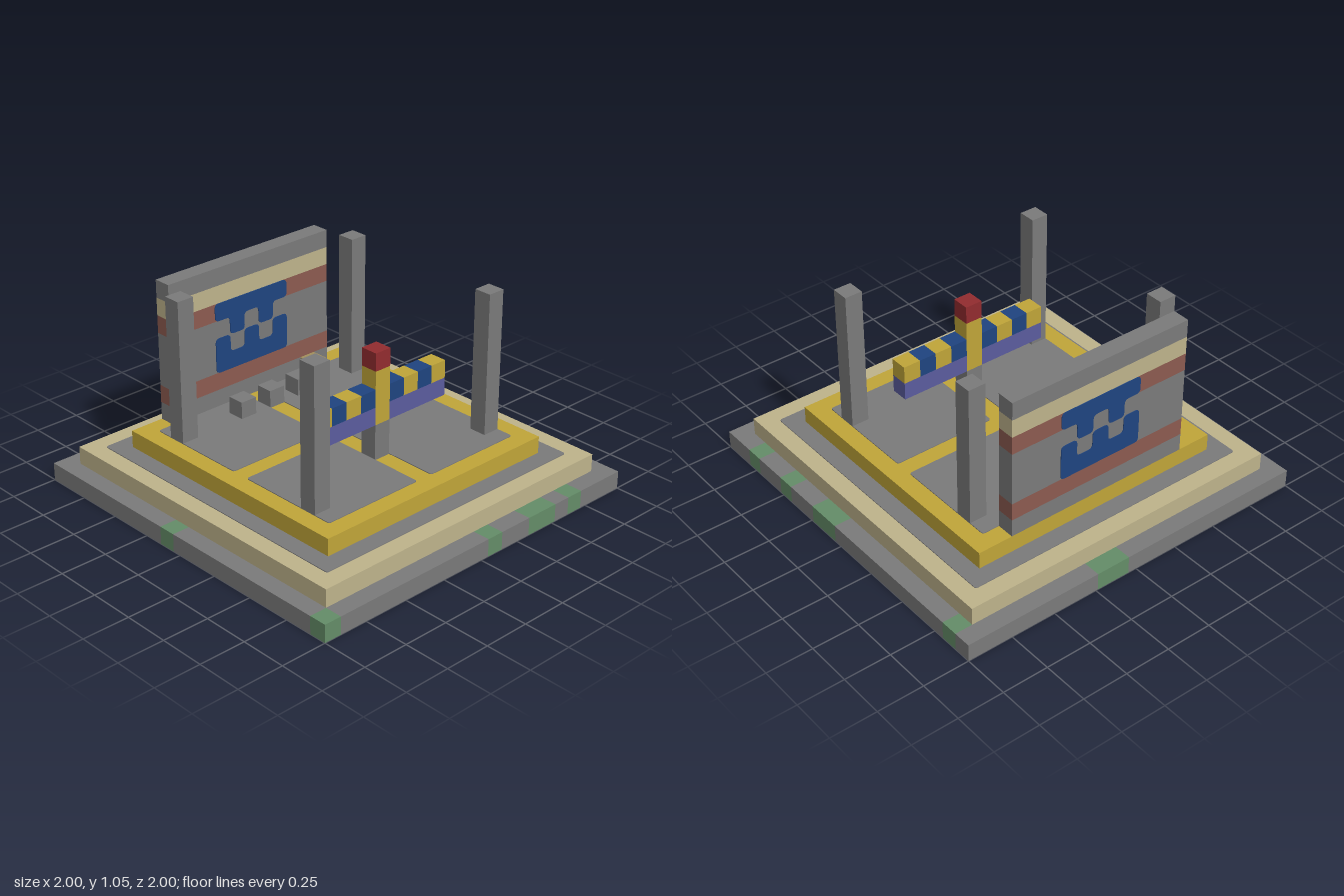
import * as THREE from 'three';
import { mergeGeometries } from 'three/addons/utils/BufferGeometryUtils.js';

const U = 2 / 21; // edge of one block
const PLATE = 0.004;

function paint(name, hex) {
  const m = new THREE.MeshStandardMaterial({ color: hex });
  m.name = name;
  return m;
}

// Box in block units: x and z centred on the model, y counted from the ground
function block(x0, x1, y0, y1, z0, z1) {
  return new THREE.BoxGeometry((x1 - x0) * U, (y1 - y0) * U, (z1 - z0) * U)
    .translate((x0 + x1) / 2 * U, (y0 + y1) / 2 * U, (z0 + z1) / 2 * U);
}

// Thin plate with softened corners, outline in block units
function plate(points, r) {
  const p = points.map(([x, y]) => new THREE.Vector2(x * U, y * U));
  const shape = new THREE.Shape();
  p.forEach((c, i) => {
    const prev = p[(i + p.length - 1) % p.length], next = p[(i + 1) % p.length];
    const a = c.clone().add(prev.clone().sub(c).setLength(r * U));
    const b = c.clone().add(next.clone().sub(c).setLength(r * U));
    if (i === 0) shape.moveTo(a.x, a.y); else shape.lineTo(a.x, a.y);
    shape.quadraticCurveTo(c.x, c.y, b.x, b.y);
  });
  shape.closePath();
  return new THREE.ExtrudeGeometry(shape, { depth: PLATE, bevelEnabled: false, curveSegments: 4 });
}

function floorPlate(x0, x1, z0, z1, level) {
  return plate([[x0, -z1], [x1, -z1], [x1, -z0], [x0, -z0]], 0.16)
    .rotateX(-Math.PI / 2).translate(0, level * U, 0);
}

export function createModel() {
  const stone = paint('stone', 0x7a7a7a);
  const moss = paint('moss', 0x648d68);
  const sand = paint('sandstone', 0xbeb38b);
  const gold = paint('gold', 0xc0a539);
  const blue = paint('blue', 0x1f4480);
  const violet = paint('violet', 0x5b5c9e);
  const red = paint('red', 0x922c2f);
  const brick = paint('brick', 0x8c5b50);
  const wood = paint('wood', 0xa28f5c);

  const model = new THREE.Group();
  model.name = 'shrine';
  const add = (name, material, geometries, parent = model) => {
    const mesh = new THREE.Mesh(mergeGeometries([geometries].flat()), material);
    mesh.name = name;
    parent.add(mesh);
  };

  // Base slab: rows of stone broken by mossy blocks [x, z]
  const mossy = new Set([
    [1, -10], [2, -10], [10, -9], [10, 1], [10, 2], [10, 5], [10, 8], [-10, -1], [-10, 10],
    [1, 10], [4, 10], [5, 10], [7, 10],
  ].map(String));
  let seed = 7;
  const random = () => (seed = (seed * 16807) % 2147483647) / 2147483647;
  for (let x = -9; x <= 9; x++) {
    for (let z = -9; z <= 9; z++) if (random() < 0.1) mossy.add(`${x},${z}`);
  }
  const plain = [], grown = [];
  for (let z = -10; z <= 10; z++) {
    let start = -10;
    for (let x = -10; x <= 10; x++) {
      const here = mossy.has(`${x},${z}`);
      if (x === 10 || mossy.has(`${x + 1},${z}`) !== here) {
        (here ? grown : plain).push(block(start - 0.5, x + 0.5, 0, 1, z - 0.5, z + 0.5));
        start = x + 1;
      }
    }
  }
  add('baseStone', stone, plain);
  add('baseMoss', moss, grown);

  // Stepped platform with inlaid paving
  add('lowerStep', sand, block(-9.5, 9.5, 1, 2, -9.5, 9.5));
  add('lowerPaving', stone, floorPlate(-8.5, 8.5, -8.5, 8.5, 2));
  add('upperStep', gold, block(-7.5, 7.5, 2, 3, -7.5, 7.5));
  const paving = [];
  for (const x of [-6.5, 0.5]) {
    for (const z of [-6.5, 0.5]) paving.push(floorPlate(x, x + 6, z, z + 6, 3));
  }
  add('upperPaving', stone, paving);

  // Corner pillars
  for (const x of [-6, 6]) {
    for (const z of [-5, 5]) add('pillar', stone, block(x - 0.5, x + 0.5, 3, 11, z - 0.5, z + 0.5));
  }

  // Back wall in coloured courses
  const wall = new THREE.Group();
  wall.name = 'backWall';
  model.add(wall);
  for (const [material, y0, y1] of [
    [stone, 3, 4], [brick, 4, 5], [stone, 5, 8], [brick, 8, 9], [sand, 9, 10], [stone, 10, 11],
  ]) add('wallCourse', material, block(-5.5, 5.5, y0, y1, -7.5, -6.5), wall);

  // Blue mosaic on both wall faces: a crown with two teeth above a three-toothed comb
  const crown = [[-2.5, 8], [-1.5, 8], [-1.5, 7], [-0.5, 7], [-0.5, 8], [0.5, 8],
    [0.5, 7], [1.5, 7], [1.5, 8], [2.5, 8], [2.5, 9], [-2.5, 9]];
  const comb = [[-2.5, 5], [2.5, 5], [2.5, 7], [1.5, 7], [1.5, 6], [0.5, 6], [0.5, 7],
    [-0.5, 7], [-0.5, 6], [-1.5, 6], [-1.5, 7], [-2.5, 7]];
  for (const z of [-6.5 * U, -7.5 * U - PLATE]) {
    add('wallMosaic', blue, [crown, comb].map((s) => plate(s, 0.25).translate(0, 0, z)), wall);
  }

  // Striped crossbar on a central post
  const bar = new THREE.Group();
  bar.name = 'crossbar';
  model.add(bar);
  add('postFoot', stone, block(-0.5, 0.5, 3, 5, 2.5, 3.5), bar);
  add('post', gold, block(-0.5, 0.5, 5, 8, 2.5, 3.5), bar);
  add('postCap', red, block(-0.5, 0.5, 8, 9, 2.5, 3.5), bar);
  for (const s of [-1, 1]) {
    add('beam', violet, block(s * 2.5 - 2, s * 2.5 + 2, 5, 6, 2.5, 3.5), bar);
    for (let i = 1; i <= 4; i++) {
      add('beamStripe', i % 2 ? blue : gold, block(s * i - 0.5, s * i + 0.5, 6, 7, 2.5, 3.5), bar);
    }
  }

  // Seats and a small chest before the wall
  for (const x of [-2, 0, 2]) add('seat', stone, block(x - 0.5, x + 0.5, 3, 4, -5.5, -4.5));
  add('chest', wood, block(3.5, 4.5, 3, 4, -6.5, -5.5));

  return model;
}
